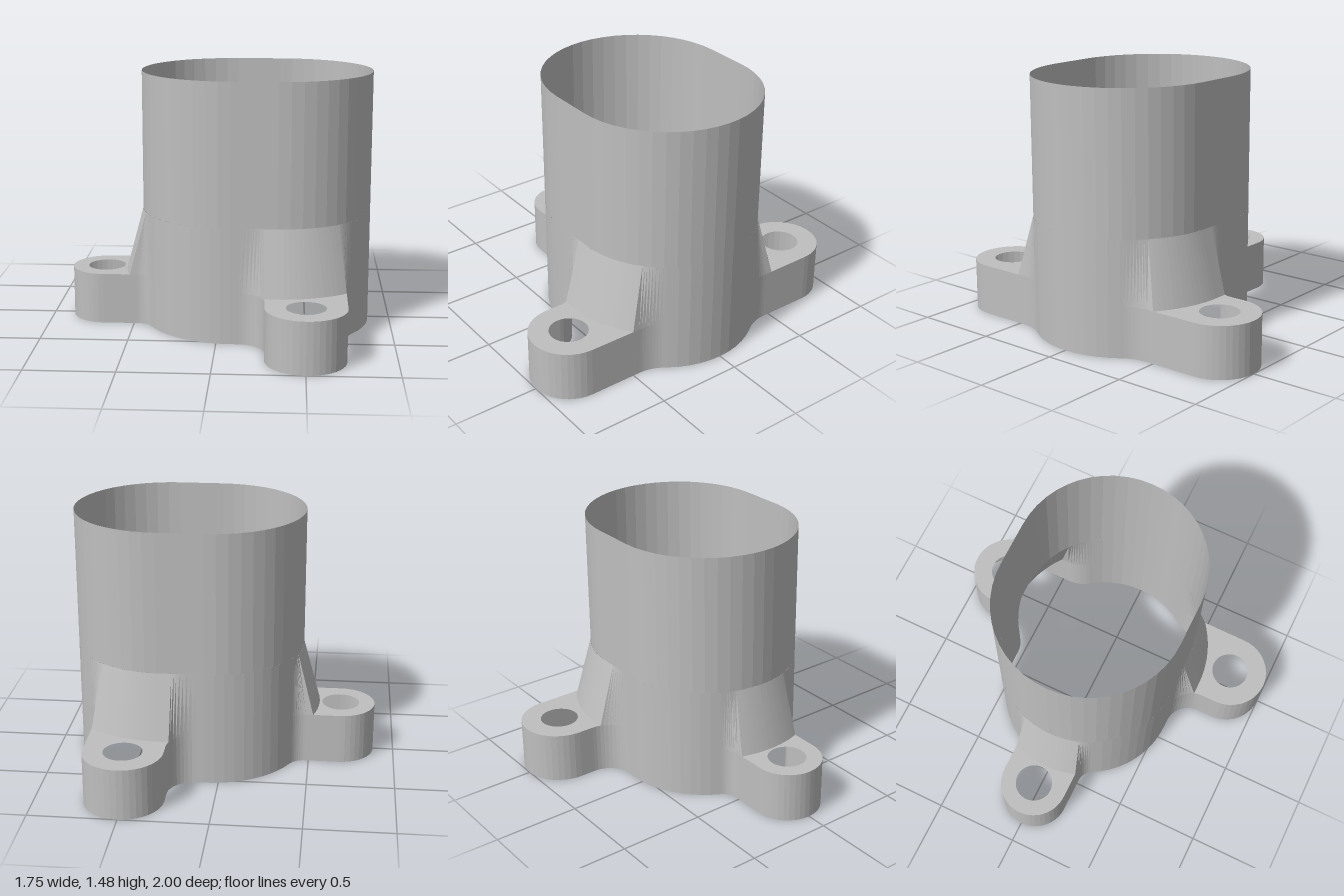
import * as THREE from 'three';

const R = 0.535, XL = 0.08, XR = 0.34;          // oval tube: two half circles joined by flats
const LUG_Y = 0.297, RAMP_Y = 0.667, TOP_Y = 1.477, FLARE = 0.1, HOLE_R = 0.11;

const shell = new THREE.MeshStandardMaterial({ color: 0xbfbfbf, side: THREE.DoubleSide });
shell.name = 'grey shell';

const deg = Math.PI / 180;

// Plan points (x, z) along an arc, angles in degrees
function arc(cx, cz, r, a0, a1, n) {
  return Array.from({ length: n + 1 }, (_, i) => {
    const a = (a0 + (a1 - a0) * i / n) * deg;
    return new THREE.Vector2(cx + r * Math.cos(a), cz + r * Math.sin(a));
  });
}

// Closest point on the oval, pushed outwards by d
function onOval(p, d = 0) {
  const core = new THREE.Vector2(THREE.MathUtils.clamp(p.x, XL, XR), 0);
  return p.clone().sub(core).setLength(R + d).add(core);
}
const offset = (p) => Math.hypot(p.x - THREE.MathUtils.clamp(p.x, XL, XR), p.y) - R;

// Faceted wall between two plan curves at two heights
function wall(name, low, y0, high, y1) {
  const pos = [];
  for (let i = 0; i < low.length - 1; i++) {
    const a = [low[i].x, y0, low[i].y], b = [low[i + 1].x, y0, low[i + 1].y];
    const c = [high[i + 1].x, y1, high[i + 1].y], d = [high[i].x, y1, high[i].y];
    pos.push(...a, ...b, ...c, ...a, ...c, ...d);
  }
  const g = new THREE.BufferGeometry();
  g.setAttribute('position', new THREE.Float32BufferAttribute(pos, 3));
  g.computeVertexNormals();
  const m = new THREE.Mesh(g, shell);
  m.name = name;
  return m;
}

// Hollow mounting lug: side wall, pierced top plate and ramp up to the tube
function lug(name, outline, hx, hz) {
  const group = new THREE.Group();
  group.name = name;
  group.add(wall('lugWall', outline, 0, outline, LUG_Y));

  // Where the outline leaves the flared band around the tube
  const cross = (p, q) => {
    const a = offset(p), b = offset(q);
    return p.clone().lerp(q, (FLARE - a) / (b - a));
  };
  const out = outline.map((p) => offset(p) > FLARE);
  const i = out.indexOf(true), j = out.lastIndexOf(true);
  const e1 = cross(outline[i - 1], outline[i]), e2 = cross(outline[j + 1], outline[j]);
  const foot = Array.from({ length: 17 }, (_, k) => onOval(e1.clone().lerp(e2, k / 16), FLARE));

  const low = [...outline.slice(0, i), ...foot, ...outline.slice(j + 1)];
  group.add(wall('ramp', low, LUG_Y, low.map((p) => onOval(p)), RAMP_Y));

  const shape = new THREE.Shape([...outline.slice(i, j + 1), ...foot.slice().reverse()]);
  shape.holes.push(new THREE.Path(arc(hx, hz, HOLE_R, 0, 360, 32).slice(0, -1)));
  const g = new THREE.ShapeGeometry(shape);
  // Lay flat with the normal up: shape y becomes z
  g.rotateX(Math.PI / 2);
  const idx = g.index.array;
  for (let k = 0; k < idx.length; k += 3) [idx[k], idx[k + 1]] = [idx[k + 1], idx[k]];
  g.computeVertexNormals();
  const plate = new THREE.Mesh(g, shell);
  plate.name = 'lugTop';
  plate.position.y = LUG_Y;
  group.add(plate);
  return group;
}

export function createModel() {
  const model = new THREE.Group();
  model.name = 'flangedTube';
  const mirror = (pts) => pts.map((p) => new THREE.Vector2(p.x, -p.y)).reverse();

  // Plan outline of each lug, with fillets where it meets the tube
  const sf = 0.1, sz = 0.3, sx = XL - Math.sqrt((R + sf) ** 2 - sz ** 2);
  const sa = Math.atan2(sz, XL - sx) / deg;
  const sideFillet = arc(sx, sz, sf, -90, -sa, 8);
  const sideOutline = [...mirror(sideFillet), ...arc(-0.68, 0, 0.2, 270, 90, 20), ...sideFillet];

  const ff = 0.25, fx = 0.725 + ff, fz = Math.sqrt((R + ff) ** 2 - (fx - XR) ** 2);
  const fa = Math.atan2(fz, fx - XR) / deg;
  const frontOutline = [
    ...arc(0.125, R + 0.15, 0.15, -90, 0, 10),
    ...arc(0.5, 0.775, 0.225, 180, 0, 20),
    ...arc(fx, fz, ff, 180, 180 + fa, 8),
  ];

  model.add(lug('sideLug', sideOutline, -0.68, 0));
  model.add(lug('frontLug', frontOutline, 0.5, 0.775));
  model.add(lug('backLug', mirror(frontOutline), 0.5, -0.775));

  // Lower tube wall between the lugs
  const frontGap = [...arc(XL, 0, R, 180 - sa, 90, 10), new THREE.Vector2(0.125, R)];
  const gaps = { lowerWallFront: frontGap, lowerWallBack: mirror(frontGap), lowerWallRight: arc(XR, 0, R, fa, -fa, 10) };
  for (const [name, pts] of Object.entries(gaps)) model.add(wall(name, pts, 0, pts, RAMP_Y));

  // Upper tube, open at both ends
  const oval = [...arc(XL, 0, R, 270, 90, 24), ...arc(XR, 0, R, 90, -90, 24)];
  oval.push(oval[0]);
  model.add(wall('upperTube', oval, RAMP_Y, oval, TOP_Y));
  return model;
}
